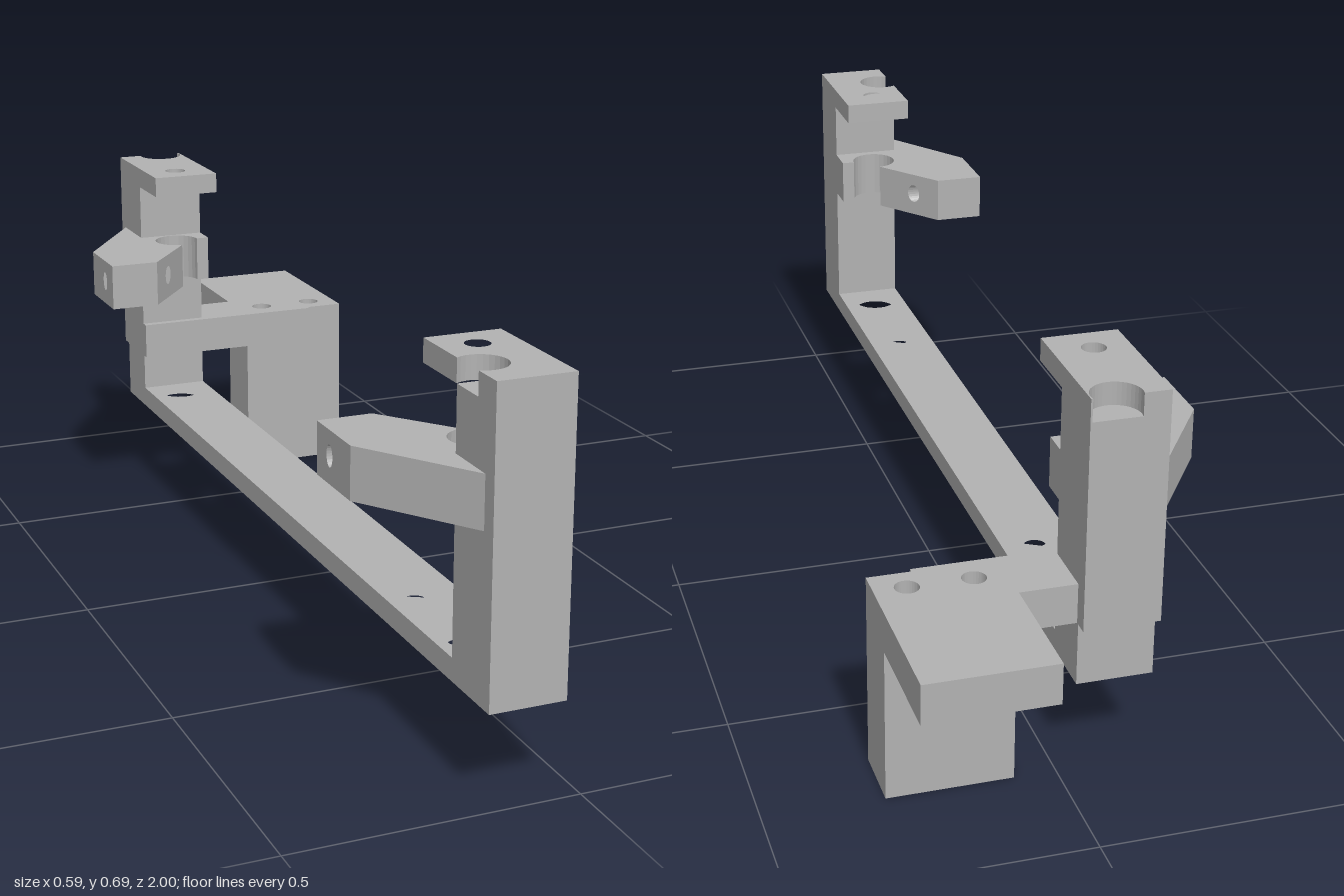
import * as THREE from 'three';

const X0 = -0.163, X1 = -0.03, CX = -0.1; // sides and centre line of the rail

// Circle or regular polygon as [x, z] points
const ring = (x, z, r, n = 28, start = 0) => Array.from({ length: n }, (_, i) => {
  const a = start + (i / n) * Math.PI * 2;
  return [x + r * Math.cos(a), z + r * Math.sin(a)];
});
const rect = (x0, x1, z0, z1) => [[x0, z0], [x1, z0], [x1, z1], [x0, z1]];
const toVectors = (pts) => pts.map(([x, z]) => new THREE.Vector2(x, -z));

// Vertical prism from a plan outline with holes
function prism(outline, y0, y1, holes = []) {
  const shape = new THREE.Shape(toVectors(outline));
  holes.forEach((h) => shape.holes.push(new THREE.Path(toVectors(h))));
  return new THREE.ExtrudeGeometry(shape, { depth: y1 - y0, bevelEnabled: false })
    .rotateX(-Math.PI / 2).translate(0, y0, 0);
}

export function createModel() {
  const model = new THREE.Group();
  const grey = new THREE.MeshStandardMaterial({ color: 0xb2b2b2 });
  grey.name = 'plain grey';
  const add = (name, geometry) => {
    const mesh = new THREE.Mesh(geometry, grey);
    mesh.name = name;
    model.add(mesh);
  };

  // Long rail: round through holes, with hexagonal nut pockets in the upper half
  const rail = rect(X0, X1, -0.785, 1);
  const access = [-0.625, 0.81].map((z) => ring(CX, z, 0.044));
  const bolts = [-0.355, 0.595].map((z) => ring(CX, z, 0.021));
  const nuts = [-0.355, 0.595].map((z) => ring(CX, z, 0.039, 6, Math.PI / 2));
  add('railLower', prism(rail, 0.165, 0.185, [...access, ...bolts]));
  add('railUpper', prism(rail, 0.185, 0.205, [...access, ...nuts]));

  // Posts
  add('frontPost', prism(rect(X0, X1, 0.87, 1), 0.205, 0.65));
  add('backPost', prism(rect(X0, X1, -0.81, -0.675), 0.278, 0.65));
  add('backPostFoot', prism(rect(X0, X1, -0.785, -0.675), 0.205, 0.278));

  // Top tabs, each with a screw hole and a round notch in one edge
  const arc = (x, z, r, a0, a1, n = 20) => Array.from({ length: n + 1 }, (_, i) => {
    const a = a0 + ((a1 - a0) * i) / n;
    return [x + r * Math.cos(a), z + r * Math.sin(a)];
  });
  const r = 0.043;
  const f = Math.acos((X0 + 0.14) / r);
  add('frontTab', prism([[X0, 0.75], [X1, 0.75], [X1, 1], [X0, 1],
    ...arc(-0.14, 0.905, r, f, -f)], 0.65, 0.69, [ring(CX, 0.81, 0.021)]));
  const b = Math.asin(0.01 / r);
  add('backTab', prism([[X0, -0.565], [X1, -0.565], [X1, -0.81],
    ...arc(-0.075, -0.8, r, -b, Math.PI + b), [X0, -0.81]],
  0.65, 0.69, [ring(CX, -0.625, 0.021)]));

  // Angled clamp arms: the front one mirrors the back one
  const slope = 0.776;
  const slantX = (z) => -0.2 + (-0.455 - z) * slope;
  const flip = (z) => 0.185 - z;
  for (const [name, mapZ] of [['backArm', (z) => z], ['frontArm', flip]]) {
    // Body with the screwdriver groove
    const body = [[-0.295, -0.56], [slantX(-0.56), -0.56],
      ...arc(CX, -0.625, 0.045, 1.64, Math.PI * 2),
      [X1, -0.625], [X1, -0.69], [X0, -0.69], [X0, -0.785], [-0.295, -0.59]];
    add(name + 'Body', prism(body.map(([x, z]) => [x, mapZ(z)]), 0.45, 0.54));

    // Tip with a cross hole; its inner end is moved onto the slanted plane
    const side = (pts) => pts.map(([z, y]) => new THREE.Vector2(-mapZ(z), y));
    const shape = new THREE.Shape(side(rect(-0.56, -0.455, 0.45, 0.54)));
    const hole = ring(0, 0, 1, 24).map(([u, v]) => [-0.507 + u * 0.012, 0.497 + v * 0.019]);
    shape.holes.push(new THREE.Path(side(hole)));
    const tip = new THREE.ExtrudeGeometry(shape, { depth: 1, bevelEnabled: false })
      .rotateY(Math.PI / 2);
    const p = tip.attributes.position;
    for (let i = 0; i < p.count; i++) {
      p.setX(i, p.getX(i) < 0.5 ? -0.295 : slantX(mapZ(p.getZ(i))));
    }
    tip.computeVertexNormals();
    add(name + 'Tip', tip);
  }

  // Side bracket plate and the block hanging below it, drilled through
  const screws = [0.125, 0.237].map((x) => ring(x, -0.715, 0.021));
  add('bracketPlate', prism([[X0, -0.66], [0.217, -0.66], [0.217, -0.668], [0.293, -0.668],
    [0.293, -1], [0.07, -1], [0.07, -0.78], [X0, -0.78]], 0.278, 0.35, screws));
  add('bracketBlock', prism(rect(0.073, 0.293, -0.783, -0.668), 0, 0.278, screws));

  return model;
}
